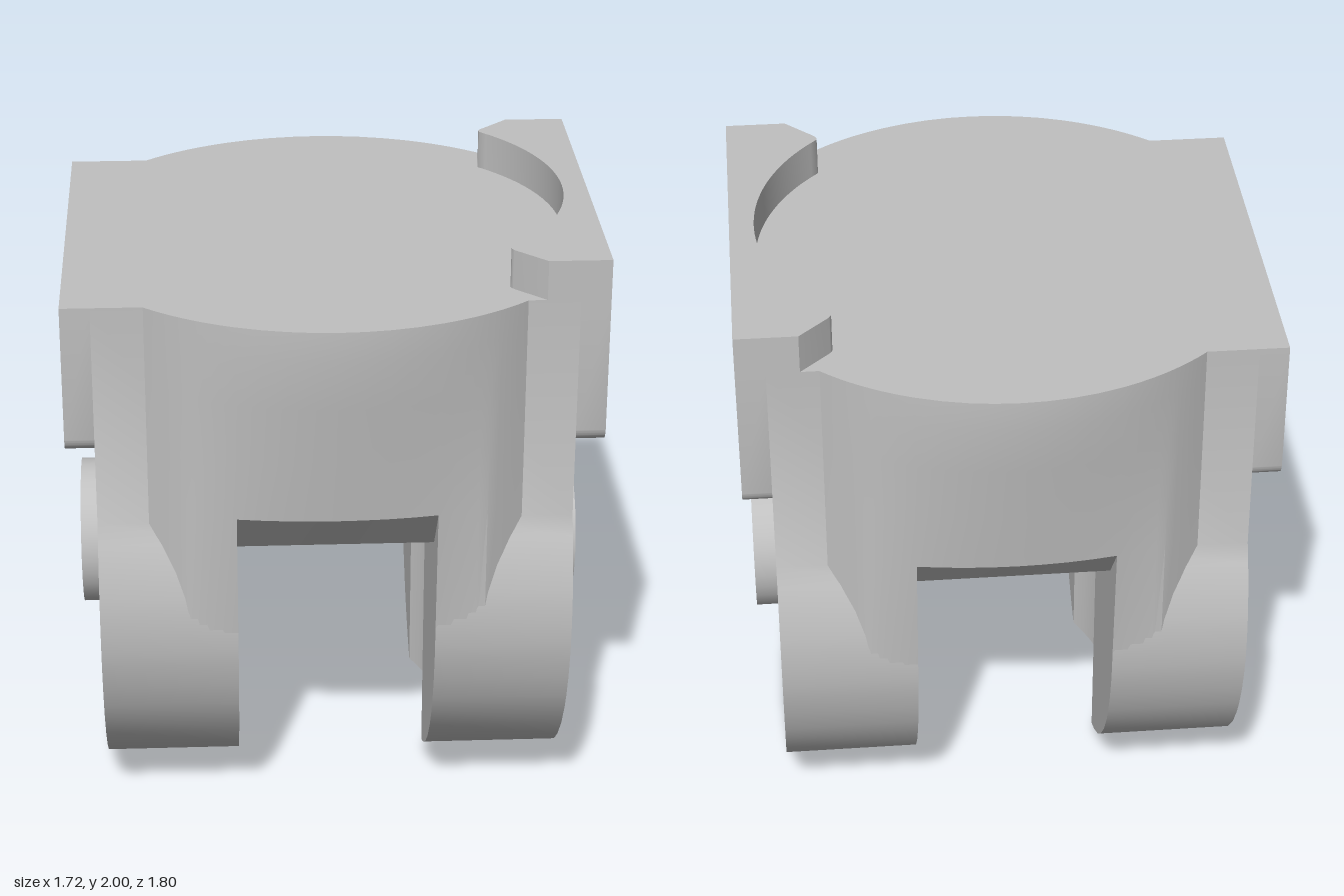
import * as THREE from 'three';
import { mergeVertices, toCreasedNormals } from 'three/addons/utils/BufferGeometryUtils.js';

const HUB_Y = 0.762, DISC_R = 0.76;   // wheel-shaped arm ends
const DECK_Y = 1.87, ROOF_Y = 1.02;   // top of the body, ceiling of the slot
const NECK_Z = 0.67, SLOT_X = 0.32, ARM_X = 0.765, SIDE_X = 0.86;
const BORE_R = 0.43, BORE_Z = Math.sqrt(BORE_R ** 2 - SLOT_X ** 2);

// Skin through a row of closed cross-sections with equal point counts
function loft(sections) {
  const n = sections[0].length, index = [];
  for (let i = 0; i < sections.length - 1; i++) {
    for (let j = 0; j < n; j++) {
      const k = (j + 1) % n;
      const a = i * n + j, b = a + n, c = (i + 1) * n + k, d = i * n + k;
      index.push(a, b, c, a, c, d);
    }
  }
  const g = new THREE.BufferGeometry();
  g.setAttribute('position', new THREE.Float32BufferAttribute(sections.flat(2), 3));
  g.setIndex(index);
  return toCreasedNormals(mergeVertices(g), 0.5);
}

// Arm: disc with a neck, its inner face hollowed by the vertical bore
function armGeometry(side) {
  const half = [0, 0.07, 0.14, 0.21, 0.25, BORE_Z, 0.36, 0.45, 0.53, 0.61, NECK_Z].map((z) => [z, true]);
  for (const z of [NECK_Z, 0.7, 0.73, 0.75, 0.757, DISC_R]) half.push([z, false]);
  const columns = [...half.slice(1).reverse().map(([z, neck]) => [-z, neck]), ...half];
  return loft(columns.map(([z, neck]) => {
    const h = Math.sqrt(Math.max(0, DISC_R ** 2 - z * z));
    const low = HUB_Y - h, high = neck ? DECK_Y : HUB_Y + h;
    const inner = Math.abs(z) < BORE_Z ? Math.sqrt(BORE_R ** 2 - z * z) : SLOT_X;
    const ring = [[inner, high], [ARM_X, high], [ARM_X, low], [inner, low]]
      .map(([x, y]) => [side * x, y, z]);
    return side > 0 ? ring : ring.reverse();
  }));
}

// Body: round at the top, blending to a flat front and back lower down
function bodyGeometry() {
  const depth = (x, y) => {
    const t = THREE.MathUtils.clamp((1.77 - y) / 1.07, 0, 1);
    const round = Math.sqrt(0.81 - x * x);
    const flat = THREE.MathUtils.mapLinear(Math.max(Math.abs(x), 0.48), 0.48, 0.6, 0.755, NECK_Z);
    return THREE.MathUtils.lerp(round, flat, t);
  };
  const section = (x, overArm) => {
    const levels = [overArm ? 0.7 : 1.19, 1.19, 1.4, 1.6, 1.77, DECK_Y];
    const front = [[0.65, ROOF_Y], ...levels.map((y) => [depth(x, y), y])];
    const back = front.map(([z, y]) => [-z, y]).reverse();
    return [...front, ...back].map(([z, y]) => [x, y, z]);
  };
  const over = [0.32, 0.37, 0.42, 0.45, 0.48, 0.51, 0.54, 0.57, 0.6];
  const mid = [-0.32, -0.24, -0.16, -0.08, 0, 0.08, 0.16, 0.24, 0.32];
  return loft([
    ...over.map((x) => section(-x, true)).reverse(),
    ...mid.map((x) => section(x, false)),
    ...over.map((x) => section(x, true)),
  ]);
}

// Side plate with an arched lower edge around the disc
function plateGeometry(side) {
  const r = 0.835, end = Math.atan2(1.43 - HUB_Y, 0.5);
  const s = new THREE.Shape();
  s.moveTo(-NECK_Z, DECK_Y);
  s.lineTo(-NECK_Z, 1.42);
  s.quadraticCurveTo(-0.66, 1.37, -0.6, 1.37);
  s.quadraticCurveTo(-0.57, 1.37, -0.5, 1.43);
  s.absarc(0, HUB_Y, r, Math.PI - end, end, true);
  s.quadraticCurveTo(0.57, 1.37, 0.6, 1.37);
  s.quadraticCurveTo(0.66, 1.37, NECK_Z, 1.42);
  s.lineTo(NECK_Z, DECK_Y);
  const g = new THREE.ExtrudeGeometry(s, { depth: SIDE_X - ARM_X, bevelEnabled: false, curveSegments: 20 });
  g.rotateY(Math.PI / 2);
  g.translate(side > 0 ? ARM_X : -SIDE_X, 0, 0);
  return toCreasedNormals(g, 0.5);
}

// Raised rim on one side, hollowed by a round seat
function rimGeometry() {
  const a = Math.PI / 4 - 0.01;
  const s = new THREE.Shape();
  s.moveTo(SIDE_X, -NECK_Z);
  s.lineTo(SIDE_X, NECK_Z);
  s.lineTo(0.66, NECK_Z);
  s.lineTo(0.57, 0.58);
  s.quadraticCurveTo(0.55, 0.56, 0.78 * Math.cos(a), 0.78 * Math.sin(a));
  s.absarc(0, 0, 0.78, a, -a, true);
  s.quadraticCurveTo(0.55, -0.56, 0.57, -0.58);
  s.lineTo(0.66, -NECK_Z);
  const g = new THREE.ExtrudeGeometry(s, { depth: 2 - DECK_Y, bevelEnabled: false, curveSegments: 20 });
  g.rotateX(Math.PI / 2);
  g.translate(0, 2, 0);
  return toCreasedNormals(g, 0.5);
}

export function createModel() {
  const model = new THREE.Group();
  model.name = 'casterFork';
  const grey = new THREE.MeshStandardMaterial({ color: 0xc0c0c0 });
  grey.name = 'grey';
  const add = (name, geometry) => {
    const mesh = new THREE.Mesh(geometry, grey);
    mesh.name = name;
    model.add(mesh);
    return mesh;
  };

  add('body', bodyGeometry());
  add('raisedRim', rimGeometry());

  // Matching arm, plate and axle end on both sides
  for (const [label, side] of [['left', 1], ['right', -1]]) {
    add(label + 'Arm', armGeometry(side));
    add(label + 'Plate', plateGeometry(side));
    const axle = add(label + 'AxleEnd', new THREE.CylinderGeometry(0.248, 0.248, 0.08, 32));
    axle.rotation.z = Math.PI / 2;
    axle.position.set(side * 0.8, 0.765, 0);
  }
  return model;
}
